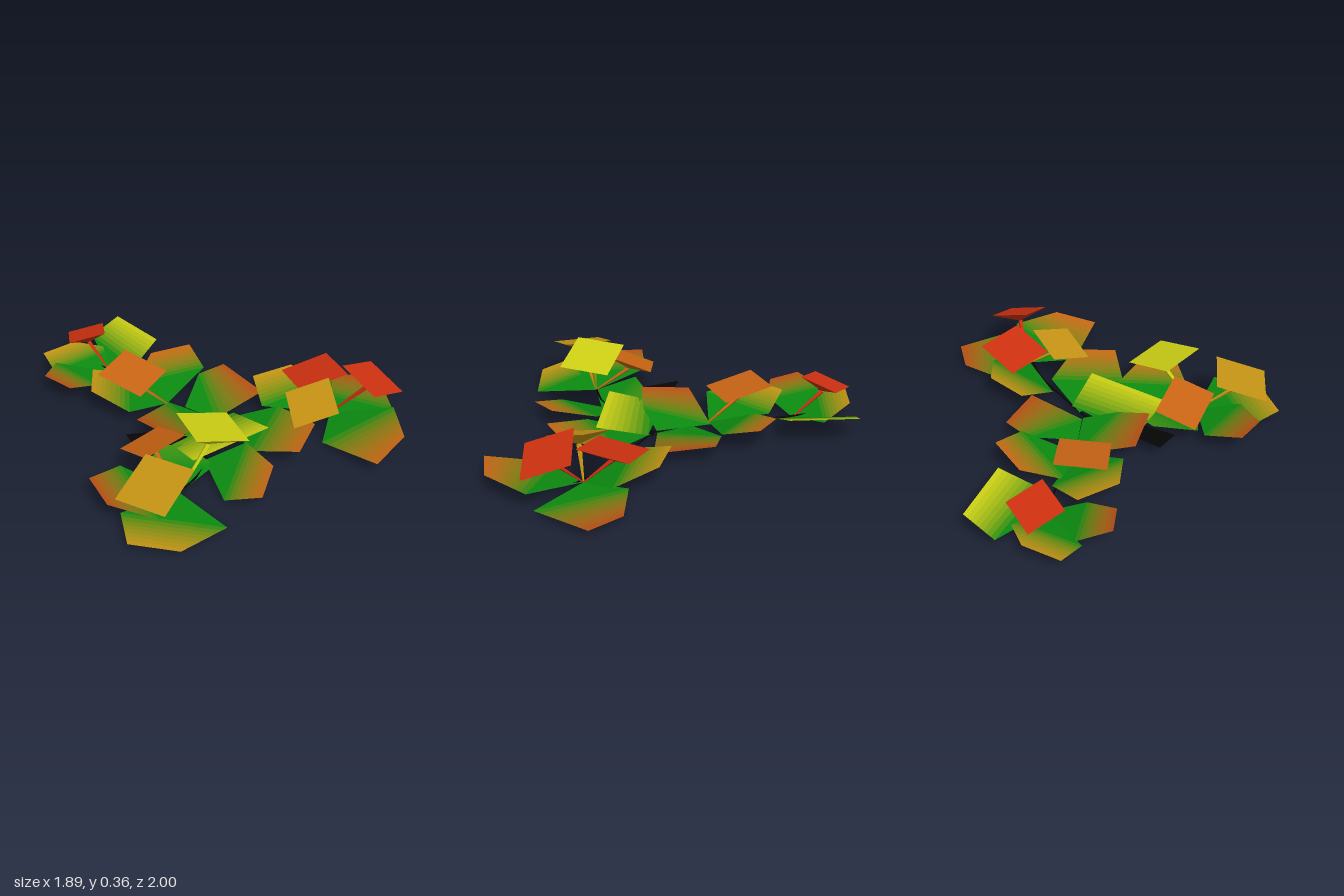
import * as THREE from 'three';

const V = (x, y, z) => new THREE.Vector3(x, y, z);
const GREEN = new THREE.Color(0x0c8a10);
const RED = 0xcc3010, RUST = 0xb84a14, ORANGE = 0xc86414, AMBER = 0xc49214, YELLOW = 0xccce14, BLACK = 0x060606;

function mesh(name, geometry, color) {
  const m = new THREE.Mesh(geometry, new THREE.MeshStandardMaterial({
    color, flatShading: true, side: THREE.DoubleSide }));
  m.name = name;
  return m;
}

// Triangles from a flat run of corners
function surface(points) {
  const g = new THREE.BufferGeometry().setFromPoints(points);
  g.computeVertexNormals();
  return g;
}

// Leaf blade: a pentagon from its base to the end edge p-q. Each shoulder lies a share
// of the way to its end corner, pushed outwards. Green up to the shoulders, then
// bands turning into the tip colour
function leaf(name, tip, base, p, q, shoulderOfP, shoulderOfQ) {
  const group = new THREE.Group();
  group.name = name;
  const edge = p.clone().sub(q);
  const usual = [0.5, 0.2 - edge.length() / 4];
  edge.normalize();
  const [shareP, outP] = shoulderOfP ?? usual;
  const [shareQ, outQ] = shoulderOfQ ?? usual;
  const a = base.clone().lerp(p, shareP).addScaledVector(edge, outP);
  const b = base.clone().lerp(q, shareQ).addScaledVector(edge, -outQ);
  group.add(mesh('leafBase', surface([base, b, a]), GREEN));
  const bands = 8;
  for (let k = 0; k < bands; k++) {
    const [a0, a1] = [k, k + 1].map((i) => a.clone().lerp(p, i / bands));
    const [b0, b1] = [k, k + 1].map((i) => b.clone().lerp(q, i / bands));
    const color = GREEN.clone().lerp(new THREE.Color(tip), (k + 0.5) / bands);
    group.add(mesh('leafBand', surface([a0, b0, b1, a0, b1, a1]), color));
  }
  return group;
}

// Flower: tilted square top over an inverted pyramid, on a thin tapered stalk.
// (dx, dz) is half a diagonal; the slopes give the rise along x and z
function flower(name, color, foot, centre, [dx, dz], [slopeX, slopeZ], depth = 0.055) {
  const group = new THREE.Group();
  group.name = name;
  const corners = [[dx, dz], [-dz, dx], [-dx, -dz], [dz, -dx]].map(([x, z]) =>
    centre.clone().add(V(x, slopeX * x + slopeZ * z, z)));
  const normal = V(-slopeX, 1, -slopeZ).normalize();
  const apex = centre.clone().addScaledVector(normal, -depth);
  const top = [], cup = [];
  corners.forEach((a, i) => {
    const b = corners[(i + 1) % 4];
    top.push(centre, b, a);
    cup.push(apex, a, b);
  });
  group.add(mesh('flowerTop', surface(top), color), mesh('flowerCup', surface(cup), color));
  const dir = apex.clone().sub(foot);
  const stalk = mesh('stalk', new THREE.CylinderGeometry(0.013, 0.004, dir.length(), 4), color);
  stalk.position.copy(foot).addScaledVector(dir, 0.5);
  stalk.quaternion.setFromUnitVectors(V(0, 1, 0), dir.normalize());
  group.add(stalk);
  return group;
}

function runner(...points) {
  return mesh('stem', new THREE.TubeGeometry(new THREE.CatmullRomCurve3(points), 12, 0.006, 4), BLACK);
}

function backSprig() {
  const g = new THREE.Group();
  g.name = 'backSprig';
  const node = V(0.06, 0.025, -0.64);
  g.add(
    runner(V(0.06, 0.02, 0.12), V(0.01, 0.02, -0.1), V(0.02, 0.02, -0.25), V(0.06, 0.03, -0.48), V(0.06, 0.035, -0.72)),
    leaf('rearLeaf', AMBER, node, V(-0.11, 0.09, -1), V(0.09, 0.09, -0.95)),
    leaf('leftLeaf', YELLOW, node, V(0.335, 0.15, -0.53), V(0.39, 0.15, -0.88), [0.3, 0.08], [0.4, 0.2]),
    leaf('rightLeaf', RUST, node, V(-0.28, 0.1, -0.62), V(-0.3, 0.12, -0.79), [0.55, 0.06]),
    flower('flower', RED, node, V(0.06, 0.215, -0.815), [0.14, -0.005], [0, 0.32]),
  );
  return g;
}

function middleSprig() {
  const g = new THREE.Group();
  g.name = 'middleSprig';
  const node = V(0.02, 0.025, -0.19);
  g.add(
    leaf('rightLeaf', AMBER, node, V(-0.26, 0.13, -0.48), V(-0.09, 0.12, -0.63)),
    leaf('leftLeaf', ORANGE, node, V(0.24, 0.12, -0.49), V(0.41, 0.15, -0.35)),
    flower('flower', ORANGE, node, V(-0.05, 0.186, -0.37), [0.15, 0.11], [0.02, -0.2]),
  );
  return g;
}

function rootSprig() {
  const g = new THREE.Group();
  g.name = 'rootSprig';
  const root = mesh('root', new THREE.CylinderGeometry(0.014, 0.003, 0.025, 4), BLACK);
  root.position.set(0.06, 0.0125, 0.12);
  const a = V(-0.39, 0.09, -0.12), b = V(-0.22, 0.06, -0.02), c = V(-0.16, 0.05, 0.12), d = V(-0.44, 0.05, 0.05);
  g.add(
    root,
    leaf('rightLeaf', RUST, V(0.07, 0.03, 0.1), V(-0.29, 0.12, 0.11), V(-0.27, 0.1, -0.15), [0.5, 0.03], [0.15, 0.26]),
    leaf('leftLeaf', RUST, V(0.05, 0.03, -0.09), V(0.43, 0.1, -0.12), V(0.38, 0.07, 0.18), [0.6, 0.08], [0.15, 0.15]),
    leaf('frontLeaf', YELLOW, V(0, 0.045, 0.1), V(0.1, 0.1, 0.42), V(-0.34, 0.09, 0.28), [0.05, 0.15], [0.15, 0.22]),
    leaf('forwardLeaf', ORANGE, V(0.1, 0.03, 0.14), V(0.25, 0.12, 0.6), V(0.02, 0.11, 0.66)),
    mesh('witheredLeaf', surface([a, c, b, a, d, c]), BLACK),
  );
  return g;
}

function rightSprig() {
  const g = new THREE.Group();
  g.name = 'rightSprig';
  const node = V(-0.51, 0.025, 0.33);
  g.add(
    runner(V(0.06, 0.02, 0.12), V(-0.12, 0.025, 0.2), V(-0.32, 0.025, 0.31), V(-0.6, 0.03, 0.33)),
    leaf('rearLeaf', RUST, node, V(-0.86, 0.11, 0.19), V(-0.79, 0.13, 0.01)),
    leaf('outerLeaf', AMBER, node, V(-0.95, 0.05, 0.39), V(-0.83, 0.04, 0.6), [0.5, 0.16], [0.5, 0.22]),
    leaf('frontLeaf', ORANGE, V(-0.24, 0.025, 0.27), V(-0.14, 0.1, 0.615), V(-0.335, 0.07, 0.69)),
    leaf('innerLeaf', 0x409010, node, V(-0.32, 0.07, 0.07), V(-0.24, 0.06, 0.13)),
    flower('innerFlower', YELLOW, node, V(-0.31, 0.32, 0.37), [0.18, -0.05], [-0.25, -0.08], 0.095),
    flower('rearFlower', ORANGE, node, V(-0.47, 0.21, 0.13), [0.14, -0.08], [0.05, 0.4]),
    flower('outerFlower', AMBER, node, V(-0.73, 0.24, 0.37), [0.15, 0.11], [0.3, 0]),
  );
  return g;
}

function leftSprig() {
  const g = new THREE.Group();
  g.name = 'leftSprig';
  const node = V(0.5, 0.025, 0.54);
  g.add(
    runner(V(0.06, 0.02, 0.12), V(0.22, 0.02, 0.26), V(0.4, 0.025, 0.42), V(0.52, 0.03, 0.6)),
    leaf('rearLeaf', AMBER, node, V(0.41, 0.12, 0.095), V(0.62, 0.13, 0.2), [0.45, 0.2]),
    leaf('outerLeaf', RUST, node, V(0.85, 0.035, 0.41), V(0.94, 0.04, 0.58), [0.5, 0.15], [0.2, 0.28]),
    leaf('frontLeaf', ORANGE, node, V(0.22, 0.07, 0.985), V(0.465, 0.1, 0.995), [0.25, 0.17], [0.6, 0.19]),
    flower('rearFlower', RED, node, V(0.54, 0.205, 0.4), [0.18, -0.04], [0.13, 0.2]),
    flower('frontFlower', RED, node, V(0.61, 0.255, 0.71), [0.135, -0.09], [-0.22, -0.38]),
    flower('innerFlower', AMBER, node, V(0.31, 0.19, 0.535), [0.16, -0.005], [0.43, 0]),
  );
  return g;
}

export function createModel() {
  const model = new THREE.Group();
  model.name = 'creepingPlant';
  model.add(backSprig(), middleSprig(), rootSprig(), rightSprig(), leftSprig());
  return model;
}
